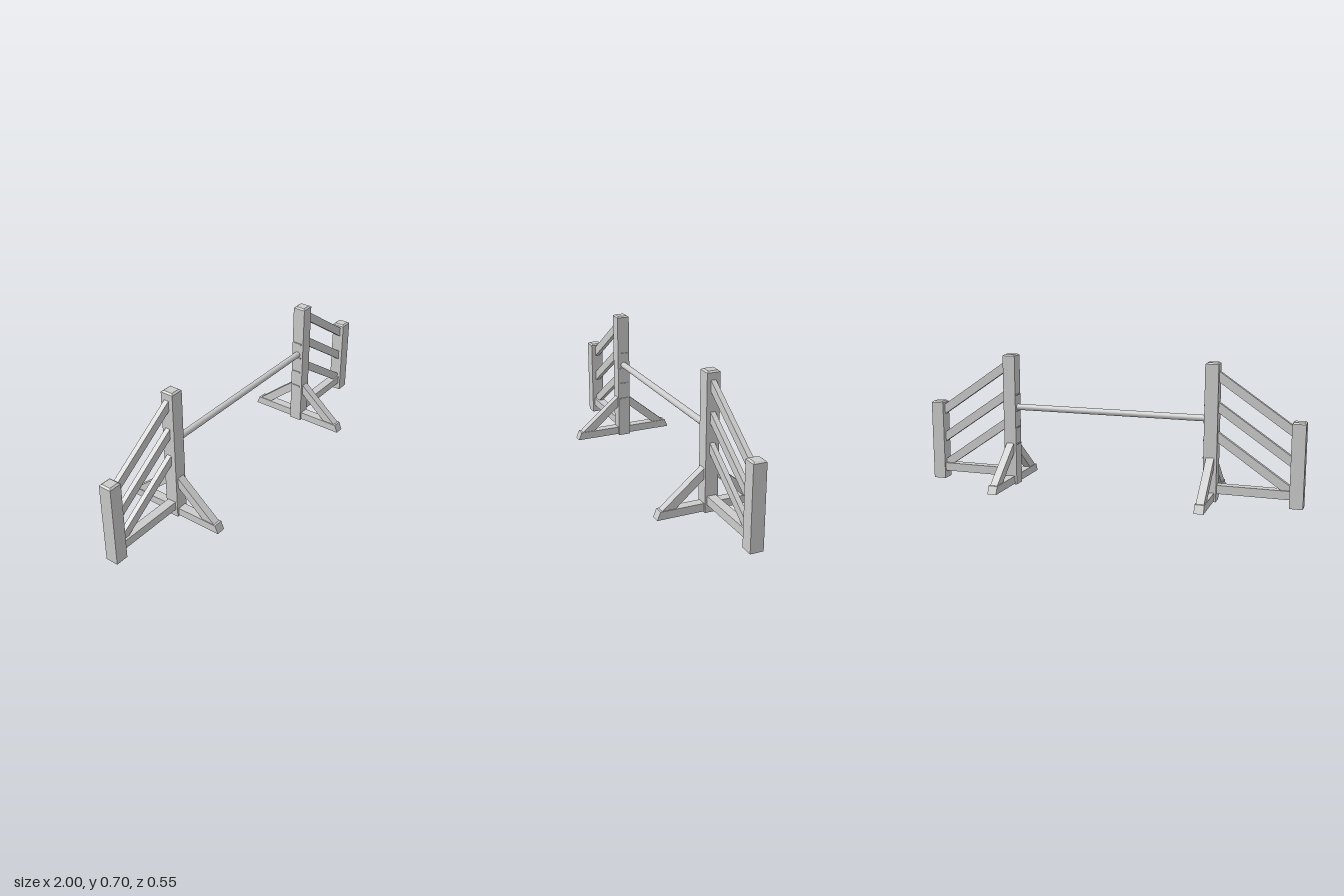
import * as THREE from 'three';

const material = new THREE.MeshStandardMaterial({ color: 0xcccccc, flatShading: true });
const smooth = new THREE.MeshStandardMaterial({ color: 0xcccccc });

function add(parent, name, geometry, x = 0, y = 0, z = 0, mat = material) {
  const mesh = new THREE.Mesh(geometry, mat);
  mesh.name = name;
  mesh.position.set(x, y, z);
  parent.add(mesh);
  return mesh;
}

// Flat board cut from an outline in the xy plane, centred on its thickness
function board(points, depth) {
  const shape = new THREE.Shape(points.map(([x, y]) => new THREE.Vector2(x, y)));
  return new THREE.ExtrudeGeometry(shape, { depth, bevelEnabled: false }).translate(0, 0, -depth / 2);
}

// Square post with a shallow chamfered top
function post(parent, name, x, height) {
  const w = 0.067, chamfer = 0.007;
  const group = new THREE.Group();
  group.name = name;
  group.position.x = x;
  parent.add(group);
  add(group, name + 'Shaft', new THREE.BoxGeometry(w, height - chamfer, w), 0, (height - chamfer) / 2);
  const cap = new THREE.CylinderGeometry((w / 2 - 0.009) * Math.SQRT2, (w / 2) * Math.SQRT2, chamfer, 4);
  add(group, name + 'Cap', cap.rotateY(Math.PI / 4), 0, height - chamfer / 2);
}

function createWing(name) {
  const wing = new THREE.Group();
  wing.name = name;
  const innerX = 0.539, outerX = 0.9665;
  const x0 = 0.573, x1 = 0.933;

  post(wing, 'innerPost', innerX, 0.697);
  post(wing, 'outerPost', outerX, 0.427);

  // Bottom rail and three sloping rungs between the posts
  add(wing, 'bottomRail', new THREE.BoxGeometry(x1 - x0, 0.044, 0.046), (x0 + x1) / 2, 0.063);
  for (const top of [0.655, 0.503, 0.353]) {
    const drop = 0.246, h = 0.053;
    add(wing, 'slopingRung', board([[x0, top - h], [x1, top - drop - h], [x1, top - drop], [x0, top]], 0.025), 0, 0, 0.002);
  }

  // Foot running front to back, with a diagonal brace on each side
  const foot = board([[-0.274, 0.005], [0.274, 0.005], [0.257, 0.046], [-0.257, 0.046]], 0.048);
  add(wing, 'foot', foot.rotateY(-Math.PI / 2), innerX);
  for (const side of [1, -1]) {
    const brace = board([[0.033, 0.17], [0.178, 0.046], [0.247, 0.046], [0.033, 0.225]], 0.04);
    add(wing, 'brace', brace.rotateY(-side * Math.PI / 2), innerX);
  }

  // Small pole rests on the inner face
  for (const y of [0.484, 0.398, 0.309, 0.22]) {
    add(wing, 'poleRest', new THREE.BoxGeometry(0.008, 0.007, 0.045), 0.504, y);
  }
  return wing;
}

export function createModel() {
  const model = new THREE.Group();
  model.name = 'jumpFence';

  model.add(createWing('leftWing'));
  const right = createWing('rightWing');
  right.rotation.y = Math.PI;
  model.add(right);

  // Horizontal pole between the wings
  const pole = new THREE.CylinderGeometry(0.0165, 0.0165, 1.012, 16).rotateZ(Math.PI / 2);
  add(model, 'pole', pole, 0, 0.417, 0, smooth);
  return model;
}
